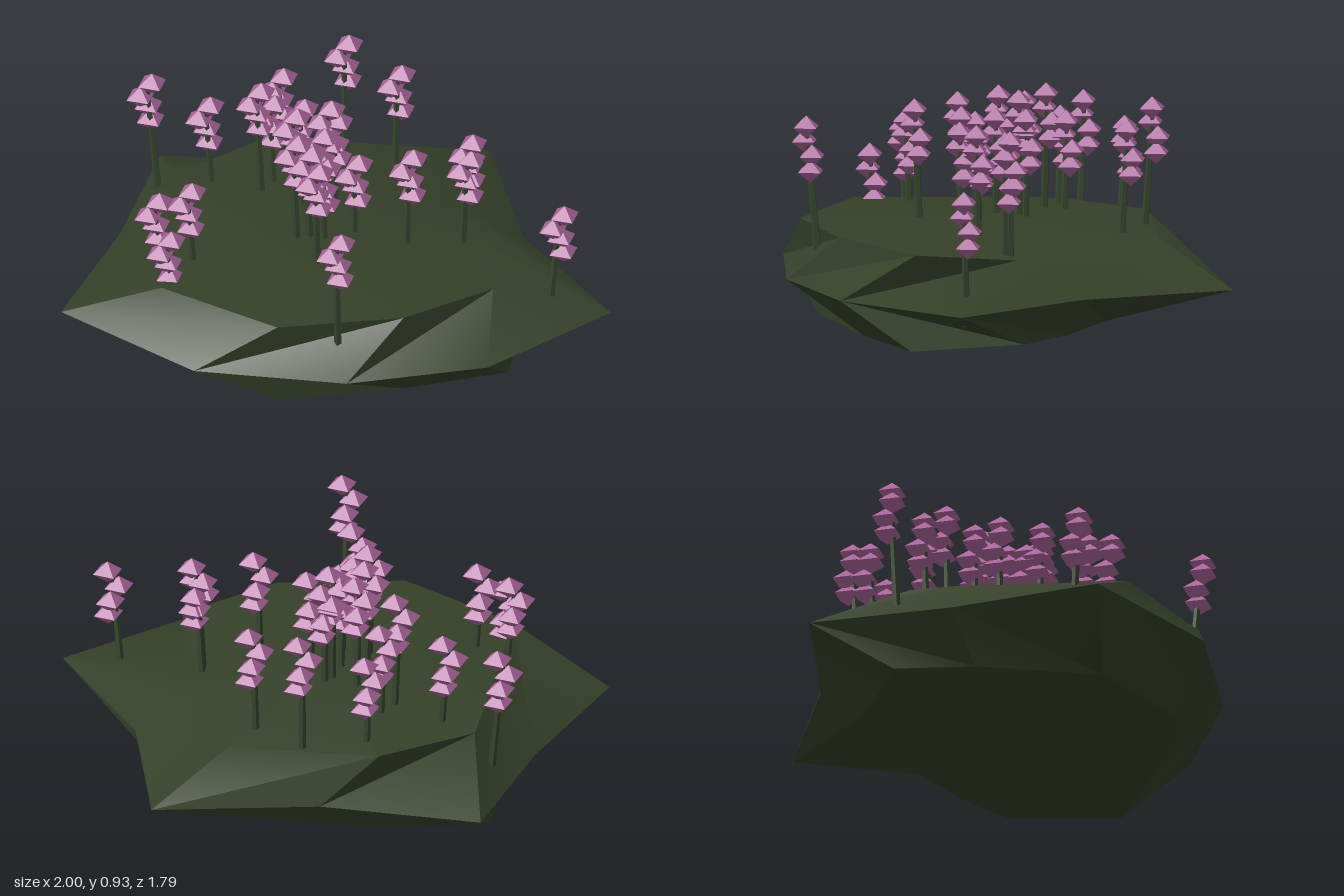
import * as THREE from 'three';
import { toCreasedNormals } from 'three/addons/utils/BufferGeometryUtils.js';

const soil = new THREE.MeshStandardMaterial({ color: 0x354029 });
soil.name = 'mossy green';
const stalkGreen = new THREE.MeshStandardMaterial({ color: 0x36452e, flatShading: true });
stalkGreen.name = 'stalk green';
const petal = new THREE.MeshStandardMaterial({ color: 0xa9639a, flatShading: true });
petal.name = 'mauve petal';

// Faceted mound: three ten-sided rings between two poles
function mound() {
  const upper = [[0.6, 0.41, 0.27], [0.34, 0.43, 0.59], [-0.1, 0.43, 0.79], [-0.6, 0.43, 0.65], [-0.75, 0.42, 0],
    [-0.78, 0.41, -0.16], [-0.52, 0.42, -0.48], [0.05, 0.4, -0.6], [0.28, 0.38, -0.3], [0.43, 0.37, -0.1]];
  const middle = [[0.66, 0.55], [0.18, 0.81], [-0.4, 0.89], [-1, 0.64], [-0.94, 0.05],
    [-0.95, -0.51], [-0.34, -0.63], [0.24, -0.9], [0.53, -0.36], [1, 0.05]].map(([x, z]) => [x, 0.24, z]);
  const lower = [[0.66, 0.05, 0.28], [0.31, 0.05, 0.5], [-0.11, 0.06, 0.72], [-0.6, 0.05, 0.55], [-0.8, 0.05, 0.1],
    [-0.86, 0.05, -0.2], [-0.45, 0.07, -0.43], [0.1, 0.09, -0.4], [0.4, 0.08, -0.28], [0.62, 0.08, -0.15]];
  const top = [-0.1, 0.46, 0.05], bottom = [-0.1, 0, 0.05];
  const pos = [];
  const tri = (...corners) => corners.forEach((c) => pos.push(...c));
  for (let i = 0; i < 10; i++) {
    const j = (i + 1) % 10;
    tri(top, upper[j], upper[i]);
    tri(middle[i], upper[i], middle[j]);
    tri(upper[i], upper[j], middle[j]);
    tri(middle[i], middle[j], lower[i]);
    tri(middle[j], lower[j], lower[i]);
    tri(bottom, lower[i], lower[j]);
  }
  const g = new THREE.BufferGeometry();
  g.setAttribute('position', new THREE.Float32BufferAttribute(pos, 3));
  return toCreasedNormals(g, 0.5);
}

// Top of each flower: x, z, height
const flowers = [
  [-0.91, -0.2, 0.77], [-0.45, -0.41, 0.75], [-0.23, -0.54, 0.86], [0, -0.47, 0.81], [-0.66, -0.14, 0.75],
  [-0.42, -0.19, 0.77], [-0.45, -0.11, 0.87], [-0.26, -0.05, 0.87], [-0.13, -0.07, 0.82], [-0.15, -0.04, 0.89],
  [-0.26, 0.05, 0.89], [-0.15, 0.05, 0.82], [-0.18, 0.13, 0.8], [-0.1, 0.18, 0.77], [-0.16, 0.18, 0.82],
  [-0.21, 0.2, 0.87], [0, 0.1, 0.76], [0.21, 0.08, 0.81], [0.4, -0.07, 0.82], [0.4, -0.05, 0.76],
  [0.8, 0.06, 0.65], [-0.08, 0.35, 0.86], [-0.68, 0.47, 0.69], [-0.56, 0.44, 0.74], [-0.6, 0.58, 0.6],
  [0.12, 0.74, 0.82],
];

// Bloom offsets from the top of the stalk
const bloomOffsets = [[0.02, 0, 0], [-0.022, -0.06, 0.012], [0, -0.115, -0.02], [0.01, -0.172, -0.015]];

const bloomGeometry = new THREE.OctahedronGeometry(0.06).rotateY(Math.PI / 4).scale(1, 0.74, 1);
const stalkGeometry = new THREE.CylinderGeometry(0.01, 0.016, 1, 5);

function flower(x, z, y) {
  const g = new THREE.Group();
  g.name = 'flower';
  // Stalk leaning slightly outwards
  const tip = new THREE.Vector3(x, y - 0.02, z);
  const foot = new THREE.Vector3(x * 0.945, y - 0.48, z * 0.945);
  const dir = tip.clone().sub(foot);
  const stalk = new THREE.Mesh(stalkGeometry, stalkGreen);
  stalk.name = 'stalk';
  stalk.scale.y = dir.length();
  stalk.position.copy(foot).addScaledVector(dir, 0.5);
  stalk.quaternion.setFromUnitVectors(new THREE.Vector3(0, 1, 0), dir.normalize());
  g.add(stalk);
  for (const [dx, dy, dz] of bloomOffsets) {
    const bloom = new THREE.Mesh(bloomGeometry, petal);
    bloom.name = 'bloom';
    bloom.position.set(x + dx, y + dy, z + dz);
    g.add(bloom);
  }
  return g;
}

export function createModel() {
  const model = new THREE.Group();
  model.name = 'floweringMound';
  const ground = new THREE.Mesh(mound(), soil);
  ground.name = 'mound';
  model.add(ground);
  for (const f of flowers) model.add(flower(...f));
  return model;
}
